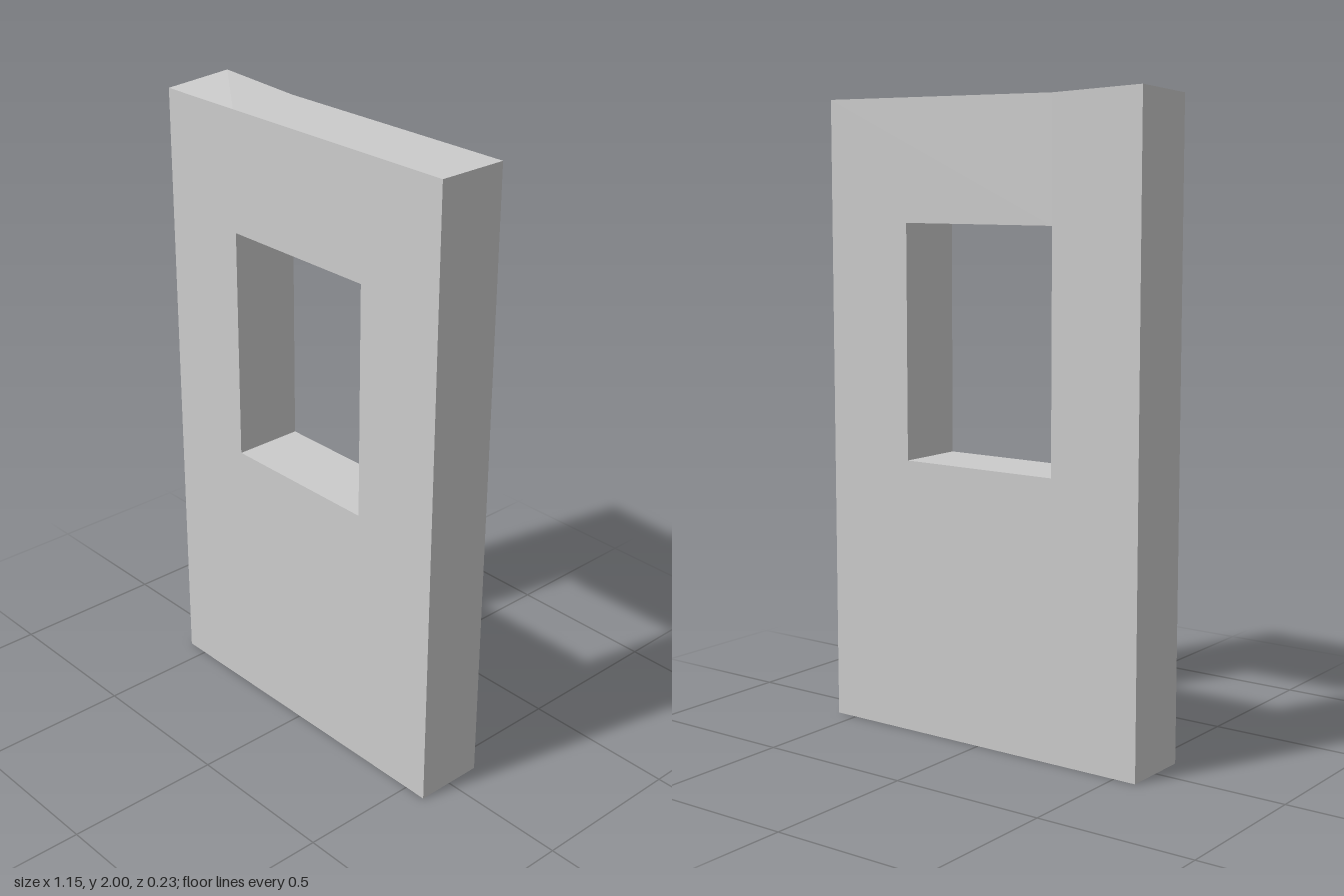
import * as THREE from 'three';

const W = 0.574, D = 0.113;      // half width, half depth
const TOP = 1.985, PEAK = 2;     // wall top, raised back corner
const WIN = { x: 0.272, y0: 0.87, y1: 1.607 };

export function createModel() {
  const group = new THREE.Group();
  group.name = 'wallPanel';

  // Wall outline, its top rising slightly towards the -x corner
  const outline = new THREE.Shape([
    [-W, 0], [W, 0], [W, TOP], [-WIN.x, TOP], [-W, PEAK],
  ].map(([x, y]) => new THREE.Vector2(x, y)));

  // Window opening
  outline.holes.push(new THREE.Path([
    [-WIN.x, WIN.y0], [-WIN.x, WIN.y1], [WIN.x, WIN.y1], [WIN.x, WIN.y0],
  ].map(([x, y]) => new THREE.Vector2(x, y))));

  const geometry = new THREE.ExtrudeGeometry(outline, { depth: 2 * D, bevelEnabled: false });
  geometry.translate(0, 0, -D);

  // Only the back corner stays raised: level the front top edge
  const pos = geometry.attributes.position;
  for (let i = 0; i < pos.count; i++) {
    if (pos.getZ(i) > 0 && pos.getY(i) > TOP) pos.setY(i, TOP);
  }
  geometry.computeVertexNormals();

  const wall = new THREE.Mesh(
    geometry,
    new THREE.MeshStandardMaterial({ color: 0xcccccc, flatShading: true }),
  );
  wall.name = 'wallWithWindow';
  group.add(wall);
  return group;
}
